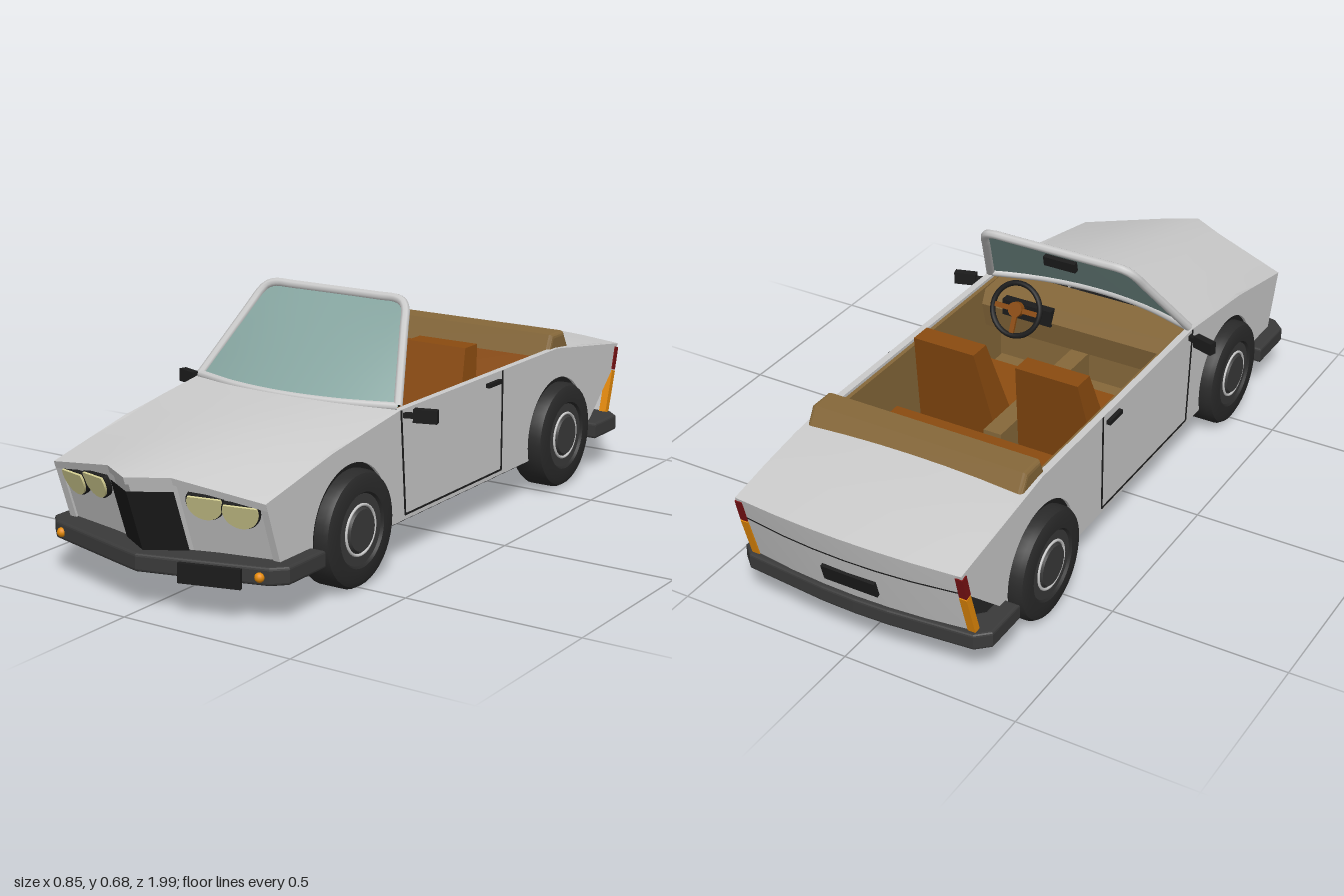
import * as THREE from 'three';
import { toCreasedNormals } from 'three/addons/utils/BufferGeometryUtils.js';

const mat = (color, side = THREE.FrontSide) =>
  new THREE.MeshStandardMaterial(side === THREE.FrontSide ? { color } : { color, side });
const paint = mat(0xcccccc), paintThin = mat(0xcccccc, THREE.DoubleSide);
const black = mat(0x1c1c1c), rubber = mat(0x2a2a2a), trim = mat(0x3a3a3a), blackThin = mat(0x1c1c1c, THREE.DoubleSide);
const leather = mat(0x8a4b10), tan = mat(0x86683a), glassMat = mat(0x86a5a0, THREE.DoubleSide);
const lampMat = mat(0xd2cc90), amber = mat(0xe58a08), red = mat(0x7a1214);

const { lerp } = THREE.MathUtils;

export function createModel() {
  const car = new THREE.Group();
  car.name = 'convertibleCar';

  const add = (name, geo, material, x = 0, y = 0, z = 0, rx = 0, ry = 0, rz = 0) => {
    const m = new THREE.Mesh(geo, material);
    m.name = name;
    m.position.set(x, y, z);
    m.rotation.set(rx, ry, rz);
    car.add(m);
    return m;
  };
  const box = (w, h, d) => new THREE.BoxGeometry(w, h, d);
  const warp = (geo, fn) => {
    const p = geo.attributes.position;
    for (let i = 0; i < p.count; i++) p.setXYZ(i, ...fn(p.getX(i), p.getY(i), p.getZ(i)));
    geo.computeVertexNormals();
    return toCreasedNormals(geo, 0.3);
  };
  // Grid panel: fn receives column and row numbers
  const panel = (cols, rows, fn) =>
    warp(new THREE.PlaneGeometry(1, 1, cols, rows), (x, y) =>
      fn(Math.round((x + 0.5) * cols), Math.round((0.5 - y) * rows)));
  // Profile drawn in (z, y), extruded across x and centred
  const across = (shape, width, bevel = 0) => {
    const g = new THREE.ExtrudeGeometry(shape, {
      depth: width - 2 * bevel, curveSegments: 24, bevelEnabled: bevel > 0,
      bevelSize: bevel, bevelThickness: bevel, bevelSegments: 3 });
    g.translate(0, 0, bevel - width / 2);
    return g.rotateY(-Math.PI / 2);
  };
  const poly = (pts) => new THREE.Shape(pts.map((p) => new THREE.Vector2(...p)));

  // Body lines
  const W = 0.335;
  const xs = [-W, -0.318, -0.2, -0.1, 0, 0.1, 0.2, 0.318, W];
  const noseY = (x) => 0.355 - Math.max(0, Math.abs(x) - 0.1) * 0.185;
  const noseZ = (x) => (Math.abs(x) <= 0.1 ? 0.99 - 0.6 * Math.abs(x) : 0.93 - 0.277 * (Math.abs(x) - 0.1));
  const frontZ = (x, y) => noseZ(x) - 0.35 * (noseY(x) - y);
  const tailZ = (x, y) => -1 + 0.03 * (x / W) ** 2 + (y < 0.29 ? 0.02 + (0.29 - y) * 0.3 : (0.365 - y) * 0.27);
  const crown = (x) => 0.01 * (x / W) ** 2;
  const wheelZ = [0.5, -0.585], axleY = 0.155, archR = 0.17, a = Math.asin(0.045 / archR);

  add('hood', panel(8, 4, (i, j) => {
    const x = xs[i], t = j / 4;
    return [x, lerp(0.424 - crown(x), noseY(x), t) + 0.008 * Math.sin(Math.PI * t),
      lerp(0.34 - 0.07 * (x / W) ** 2, noseZ(x), t)];
  }), paintThin);
  add('frontPanel', panel(8, 3, (i, j) => {
    const x = xs[i], y = [noseY(x), noseY(x) - 0.02, noseY(x) - 0.022, 0.11][j];
    return [x, y, frontZ(x, y) - (j > 1 ? 0.012 : 0)];
  }), paintThin);
  add('grille', panel(2, 1, (i, j) => {
    const x = (i - 1) * 0.1, y = j ? 0.152 : 0.317;
    return [x, y, frontZ(x, y) + 0.004];
  }), blackThin);
  add('rearDeck', panel(8, 3, (i, j) => {
    const x = xs[i], t = j / 3;
    return [x, lerp(0.424, 0.365, t) - crown(x) + 0.006 * Math.sin(Math.PI * t),
      lerp(tailZ(x, 0.365), -0.58, 1 - t)];
  }), paintThin);
  add('rearPanel', panel(8, 2, (i, j) => {
    const x = xs[i], y = [0.365, 0.29, 0.11][j] - (j ? 0 : crown(x));
    return [x, y, tailZ(x, y)];
  }), paintThin);

  // Side panels with wheel arches
  const side = new THREE.Shape();
  side.moveTo(tailZ(W, 0.11), 0.11);
  for (const z of [wheelZ[1], wheelZ[0]]) side.absarc(z, axleY, archR, Math.PI + a, -a, true);
  for (const p of [[frontZ(W, 0.11), 0.11], [0.864, 0.312], [0.58, 0.371], [0.27, 0.414], [-0.58, 0.414], [-0.97, 0.355],
    [tailZ(W, 0.29), 0.29]]) side.lineTo(...p);
  add('underside', across(poly([[-0.9, 0.1], [0.82, 0.1], [0.82, 0.12], [-0.9, 0.12]]), 0.64), black);

  for (const s of [1, -1]) {
    add('sidePanel', across(side, 0.02), paint, s * 0.325);
    add('doorCard', box(0.012, 0.28, 0.85), tan, s * 0.309, 0.265, -0.14);
    // Door seams and handle
    add('doorSeamFront', box(0.004, 0.29, 0.006), black, s * W, 0.268, 0.256, 0.08);
    add('doorSeamRear', box(0.004, 0.29, 0.006), black, s * W, 0.268, -0.26);
    add('doorSeamLower', box(0.004, 0.005, 0.505), black, s * W, 0.124, -0.008);
    add('doorHandle', box(0.014, 0.012, 0.07), black, s * 0.34, 0.387, -0.205);
    // Door mirror
    add('mirrorArm', box(0.04, 0.014, 0.014), black, s * 0.347, 0.397, 0.247, 0, s * 0.3);
    add('mirrorHead', box(0.065, 0.036, 0.022), black, s * 0.39, 0.398, 0.233, 0, s * 0.3);
    // Twin headlamps, cut off along the hood edge
    for (const [x, y] of [[0.26, 0.284], [0.17, 0.297]]) {
      const [from, to] = s > 0 ? [150, 375] : [165, 390];
      for (const [name, r, d, m] of [['headlampRim', 0.05, 0.03, black], ['headlamp', 0.046, 0.036, lampMat]]) {
        const lens = new THREE.Shape().absarc(0, 0, r, from * Math.PI / 180, to * Math.PI / 180, false);
        const g = new THREE.ExtrudeGeometry(lens, { depth: d, bevelEnabled: false, curveSegments: 28 });
        add(name, g.translate(0, 0, -0.02), m, s * x, y, frontZ(x, y) - 0.012, 0.34, s * 0.27);
      }
    }
    add('indicator', new THREE.SphereGeometry(0.013, 16, 10), amber, s * 0.315, 0.125, 0.866);
    // Tail lamps on the rear corners
    add('tailLampRed', box(0.022, 0.07, 0.02), red, s * 0.327, 0.312, -0.951, -0.25);
    add('tailLampAmber', box(0.022, 0.13, 0.02), amber, s * 0.327, 0.213, -0.924, -0.29);

    // Wheels
    for (const z of wheelZ) {
      const well = new THREE.Shape().absarc(0, 0, archR + 0.004, -a, Math.PI + a, false);
      add('wheelWell', across(well, 0.014), black, s * 0.32, axleY, z);
      const v = (r, h) => new THREE.Vector2(r, h);
      const tire = new THREE.LatheGeometry([v(0.09, -0.052), v(0.135, -0.052), v(0.148, -0.046), v(0.155, -0.034),
        v(0.155, 0.034), v(0.148, 0.046), v(0.135, 0.052), v(0.1, 0.052), v(0.094, 0.044)], 40);
      add('tire', toCreasedNormals(tire, 0.6), rubber, s * 0.318, axleY, z, 0, 0, -s * Math.PI / 2);
      add('wheelDisc', new THREE.CylinderGeometry(0.096, 0.096, 0.09, 32), trim, s * 0.318, axleY, z, 0, 0, -s * Math.PI / 2);
      add('wheelRing', new THREE.TorusGeometry(0.066, 0.004, 8, 36), paint, s * 0.364, axleY, z, 0, Math.PI / 2);
      add('hubCap', new THREE.CylinderGeometry(0.055, 0.062, 0.012, 28), trim, s * 0.365, axleY, z, 0, 0, -s * Math.PI / 2);
    }

    // Front seats: squab and tapered, reclined backrest
    add('seatCushion', across(poly([[-0.16, 0.13], [0.06, 0.13], [0.06, 0.25], [-0.14, 0.22]]), 0.25, 0.01), leather, s * 0.16);
    add('seatBack', warp(box(1, 1, 1), (x, y, z) => {
      const t = y + 0.5;
      return [s * 0.16 + x * lerp(0.26, 0.19, t * t), lerp(0.16, 0.48, t), lerp(-0.13, -0.222, t) + z * lerp(0.1, 0.065, t)];
    }), leather);
  }

  // Bumpers: bowed outline wrapped round the corners
  const bumper = (name, half) => {
    const dir = Math.sign(half[0][1]);
    const inner = half.map(([x, z], i) => [x * 0.88, i === half.length - 1 ? z : z - dir * 0.06]);
    const mirror = (pts) => pts.slice(1).map(([x, z]) => [-x, z]);
    const shape = poly([...half.slice().reverse(), ...mirror(half), ...mirror(inner).reverse(), ...inner]);
    const g = new THREE.ExtrudeGeometry(shape, { depth: 0.032, bevelSize: 0.008, bevelThickness: 0.008, bevelSegments: 3 });
    add(name, g.rotateX(Math.PI / 2), trim, 0, 0.143, 0);
  };
  bumper('frontBumper', [[0, 0.945], [0.1, 0.918], [0.335, 0.852], [0.367, 0.82], [0.367, 0.68]]);
  bumper('rearBumper', [[0, -0.945], [0.1, -0.942], [0.335, -0.92], [0.367, -0.89], [0.367, -0.77]]);
  add('frontPlate', box(0.165, 0.052, 0.012), black, 0.195, 0.118, 0.908, 0, 0.27);
  add('rearPlate', box(0.16, 0.05, 0.012), black, 0, 0.215, tailZ(0, 0.215) - 0.002, -0.29);
  add('trunkSeam', panel(8, 1, (i, j) => [xs[i] * 0.96, 0.291 - j * 0.004, tailZ(xs[i], 0.291) - 0.002]), blackThin);

  // Windshield: u runs across (-1..1), v runs up (0..1)
  const screen = (u, v) => [u * lerp(0.324, 0.228, v), lerp(0.42, 0.662, v), lerp(0.33 - 0.065 * u * u, 0.077, v)];
  add('windshield', panel(12, 4, (i, j) => screen(i / 6 - 1, 1 - j / 4)), glassMat);
  const rim = [];
  for (let v = 0; v <= 0.9; v += 0.15) rim.push([-1, v]);
  rim.push([-0.96, 0.97]);
  for (let u = -0.86; u < 0.87; u += 0.215) rim.push([u, 1]);
  rim.push([0.96, 0.97]);
  for (let v = 0.9; v >= -0.01; v -= 0.15) rim.push([1, v]);
  const tube = (pts, r) => new THREE.TubeGeometry(new THREE.CatmullRomCurve3(
    pts.map(([u, v]) => new THREE.Vector3(...screen(u, v)))), 72, r, 8);
  add('windshieldFrame', tube(rim, 0.0125), paint);
  add('windshieldSill', tube([-1, -0.5, 0, 0.5, 1].map((u) => [u, 0]), 0.012), paint);
  add('interiorMirror', box(0.1, 0.03, 0.015), black, 0, 0.61, 0.105, -0.2);

  // Cabin
  add('cabinFloor', box(0.62, 0.02, 1.0), tan, 0, 0.125, -0.1);
  add('centreConsole', box(0.055, 0.14, 0.5), tan, 0, 0.195, -0.02);
  add('dashboard', across(poly([[0.2, 0.28], [0.3, 0.28], [0.32, 0.405], [0.2, 0.4], [0.18, 0.36]]), 0.62), tan);
  add('footwell', box(0.62, 0.27, 0.02), tan, 0, 0.255, 0.3);
  add('instruments', box(0.16, 0.05, 0.03), black, 0.15, 0.375, 0.188);
  add('rearBench', across(poly([[-0.28, 0.13], [-0.28, 0.26], [-0.47, 0.255], [-0.555, 0.415], [-0.62, 0.415], [-0.62, 0.13]]), 0.622), leather);
  add('foldedTop', across(poly([[-0.555, 0.4], [-0.575, 0.443], [-0.632, 0.443], [-0.658, 0.4]]), 0.65, 0.012), tan);

  // Steering wheel
  const wheel = new THREE.Group();
  wheel.name = 'steeringWheel';
  wheel.position.set(0.155, 0.41, 0.125);
  wheel.rotation.x = 0.42;
  const part = (name, geo, m) => {
    const mesh = new THREE.Mesh(geo, m);
    mesh.name = name;
    wheel.add(mesh);
    return mesh;
  };
  part('steeringRim', new THREE.TorusGeometry(0.076, 0.008, 10, 36), black);
  part('steeringHub', new THREE.CylinderGeometry(0.022, 0.022, 0.02, 20).rotateX(Math.PI / 2), leather);
  for (const ang of [0, Math.PI, -Math.PI / 2])
    part('steeringSpoke', box(0.07, 0.014, 0.008).translate(0.038, 0, 0), leather).rotation.z = ang;
  part('steeringColumn', new THREE.CylinderGeometry(0.012, 0.012, 0.1, 12).rotateX(Math.PI / 2).translate(0, 0, 0.05), black);
  car.add(wheel);

  return car;
}
